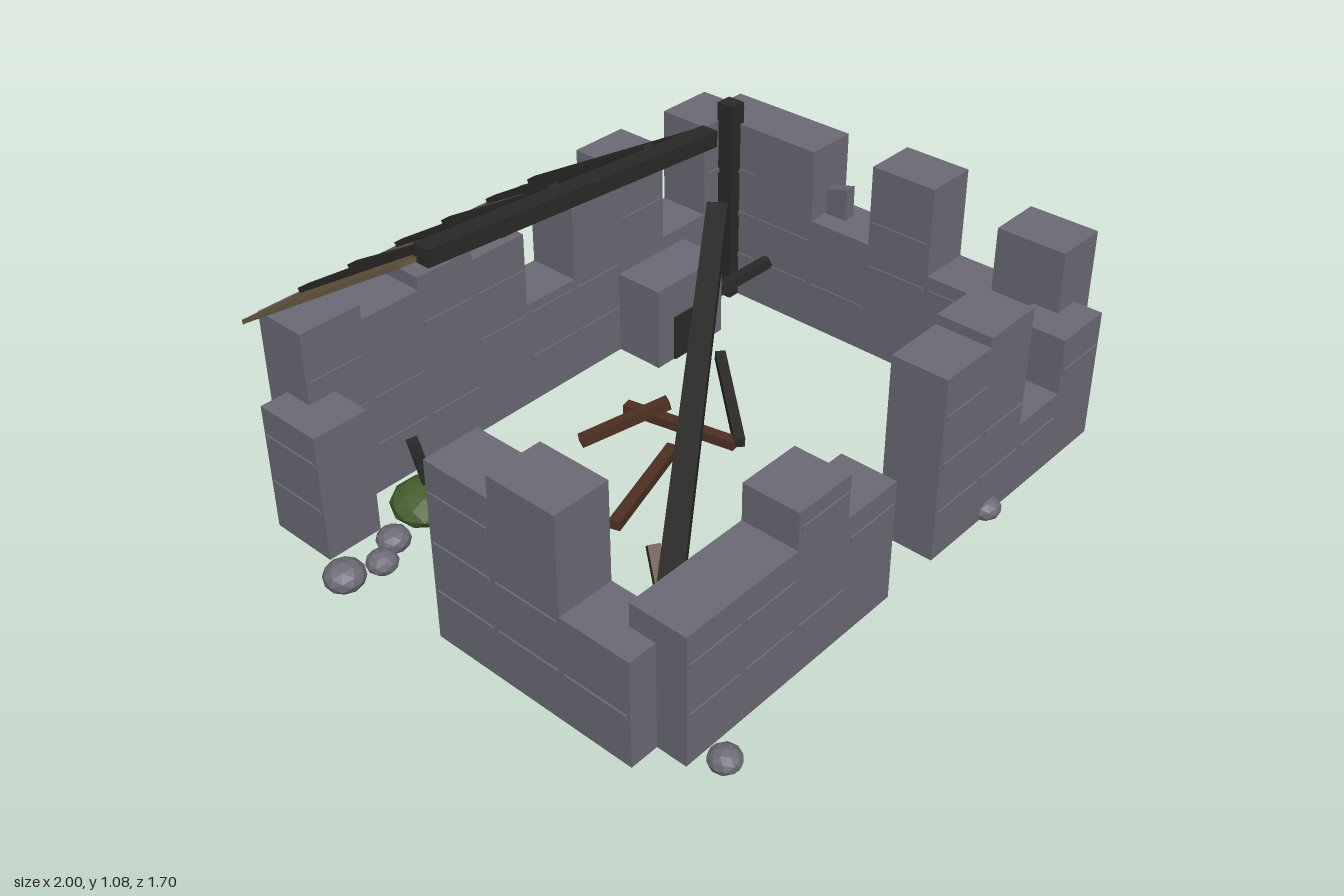
import * as THREE from 'three';

const mat = (name, color, extra = {}) => Object.assign(new THREE.MeshStandardMaterial({ color, flatShading: true, ...extra }), { name });

export function createModel() {
  const root = new THREE.Group();
  root.name = 'ruinedHouse';
  const stone = mat('wallStone', 0x6c6b76);
  const rubbleStone = mat('rubbleStone', 0x6d6c76);
  const charred = mat('charredWood', 0x2b2a29);
  const brown = mat('brownWood', 0x4e3022);
  const thatch = mat('roofBoards', 0x6d5d44, { side: THREE.DoubleSide });
  const leaf = mat('bushGreen', 0x46602f);
  const BASE = 0.03, STEP = 0.1925, SIDE = 0.2167, THICK = 0.17;

  const add = (parent, name, geo, material) => {
    const m = new THREE.Mesh(geo, material);
    m.name = name;
    parent.add(m);
    return m;
  };
  // Box given by its two extreme corners
  const box = (parent, name, a, b, material) => {
    const m = add(parent, name, new THREE.BoxGeometry(b[0] - a[0], b[1] - a[1], b[2] - a[2]), material);
    m.position.set((a[0] + b[0]) / 2, (a[1] + b[1]) / 2, (a[2] + b[2]) / 2);
    return m;
  };
  // Square timber between two points
  const beam = (parent, name, a, b, w, h, material) => {
    const p = new THREE.Vector3(...a), q = new THREE.Vector3(...b);
    const m = add(parent, name, new THREE.BoxGeometry(w, h, p.distanceTo(q)), material);
    m.position.copy(p).add(q).multiplyScalar(0.5);
    m.lookAt(q);
    return m;
  };

  // Crumbling walls: one column of masonry per height, with thin course ledges
  const wall = (name, axis, start, step, centre, heights) => {
    const g = new THREE.Group();
    g.name = name;
    root.add(g);
    const put = (label, s0, s1, y0, y1, t) => {
      const a = axis === 'x' ? [s0, y0, centre - t] : [centre - t, y0, s0];
      const b = axis === 'x' ? [s1, y1, centre + t] : [centre + t, y1, s1];
      box(g, label, a, b, stone);
    };
    heights.forEach((h, i) => {
      const s = start + i * step;
      put('masonry', s, s + step, BASE, h, THICK / 2);
      [0.18, 0.33, 0.48].forEach((y, k) => {
        if (y < h - 0.03 && (i + k) % 4 !== 3) put('courseLedge', s + 0.01, s + step - 0.01, y - 0.007, y + 0.007, THICK / 2 + 0.005);
      });
    });
  };
  wall('frontWallRight', 'x', -0.83, STEP, 0.655, [0.42, 0.42, 0.53, 0.4]);
  wall('frontWallLeft', 'x', 0.13, STEP, 0.655, [0.6, 0.63, 0.26, 0.435]);
  wall('backWall', 'x', -0.83, STEP, -0.645, [0.635, 0.59, 0.63, 0.6, 0.365, 0.6, 0.66, 0.345, 0.65]);
  wall('leftWall', 'z', -0.65, SIDE, 0.9, [0.64, 0.64, 0.405, 0.667, 0.38, 0.625]);
  wall('rightWall', 'z', 0, SIDE, -0.83, [0.575, 0.64, 0.35]);
  wall('rightWallStub', 'z', -0.65, SIDE, -0.83, [0.42]);

  // Broken shard standing in the left wall opening
  const shard = new THREE.Shape([[0.14, 0.4], [0.215, 0.4], [0.215, 0.49], [0.14, 0.51]].map(p => new THREE.Vector2(...p)));
  const shardMesh = add(root, 'wallShard', new THREE.ExtrudeGeometry(shard, { depth: 0.04, bevelEnabled: false }), stone);
  shardMesh.rotation.y = Math.PI / 2;
  shardMesh.position.x = 0.885;

  // Hearth against the back wall
  box(root, 'hearth', [0.32, BASE, -0.57], [0.61, 0.3, -0.4], stone);
  box(root, 'hearthOpening', [0.39, BASE, -0.4], [0.53, 0.18, -0.394], charred);

  // Sagging roof: level eave at the back, tilted ridge at the front
  const ridgeY = x => 1.055 - 0.06 * (x + 0.88) / 0.98;
  const roofY = (x, z) => 0.625 + (ridgeY(x) - 0.625) * (z + 0.73) / 0.67;
  const roofGeo = new THREE.BoxGeometry(0.98, 0.014, 0.67, 6, 1, 1);
  const pos = roofGeo.attributes.position;
  for (let i = 0; i < pos.count; i++) {
    const x = pos.getX(i) - 0.39, z = pos.getZ(i) - 0.395;
    pos.setXYZ(i, x, roofY(x, z) + pos.getY(i), z);
  }
  roofGeo.computeVertexNormals();
  add(root, 'roofPanel', roofGeo, thatch);
  beam(root, 'ridgeBeam', [-0.83, 1.065, -0.045], [0.14, 1.0, -0.045], 0.05, 0.045, charred);

  // Rafters: x, height offset at the ridge end
  [[-0.72, 0.012], [-0.56, -0.018], [-0.4, 0.024], [-0.235, 0.002], [-0.07, 0.026], [0.09, 0.014]].forEach(([x, lift]) =>
    beam(root, 'rafter', [x, roofY(x, -0.67) + 0.004, -0.67], [x, roofY(x, -0.06) + lift, -0.06], 0.032, 0.036, charred));

  // Posts and fallen timbers
  box(root, 'backPost', [0.775, BASE, -0.565], [0.83, 0.71, -0.505], charred);
  box(root, 'frontPost', [0.775, BASE, 0.515], [0.815, 0.3, 0.555], charred);
  beam(root, 'fallenBeam', [-0.66, 0.1, 0.51], [0.68, 0.405, -0.48], 0.065, 0.06, charred);
  [
    [[0.42, 0.1, -0.24], [0.17, 0.05, 0.05]],
    [[0.66, 0.12, -0.47], [0.82, 0.2, -0.38]],
    [[-0.75, 0.06, 0.07], [-0.5, 0.08, -0.12]],
    [[-0.58, 0.04, -0.4], [-0.62, 0.26, -0.42]],
  ].forEach(([a, b]) => beam(root, 'charredTimber', a, b, 0.032, 0.032, charred));
  [
    [[-0.33, 0.045, 0.035], [0.03, 0.045, -0.08]],
    [[0.09, 0.045, -0.32], [0.165, 0.045, 0.04]],
    [[-0.5, 0.045, 0.38], [-0.43, 0.17, 0.27]],
    [[-0.12, 0.045, -0.3], [0.08, 0.15, -0.14]],
  ].forEach(([a, b]) => beam(root, 'brokenPlank', a, b, 0.034, 0.03, brown));

  // Bushes and rubble: faceted lumps at x, y, z with radius
  const lump = (name, x, y, z, r, squash, material, detail) => {
    const m = add(root, name, new THREE.IcosahedronGeometry(r, detail), material);
    m.position.set(x, y, z);
    m.scale.y = squash;
    m.rotation.y = x * 7 + z * 3;
  };
  [[-0.68, 0.5], [0.755, 0.5], [-0.61, -0.4]].forEach(([x, z]) => lump('bush', x, 0.065, z, 0.1, 0.55, leaf, 1));
  [
    [0.155, -0.8, 0.057], [0.585, -0.77, 0.046], [-0.94, -0.34, 0.058], [-0.765, 0.8, 0.044],
    [0.395, 0.73, 0.046], [0.975, 0.44, 0.033], [0.27, 0.59, 0.03], [-0.84, -0.31, 0.045],
    [-0.76, -0.36, 0.048], [-0.51, -0.4, 0.04], [0.78, -0.68, 0.045], [-0.22, -0.66, 0.04],
  ].forEach(([x, z, r]) => lump('rubble', x, 0.047, z, r, 0.75, rubbleStone, 1));
  return root;
}
